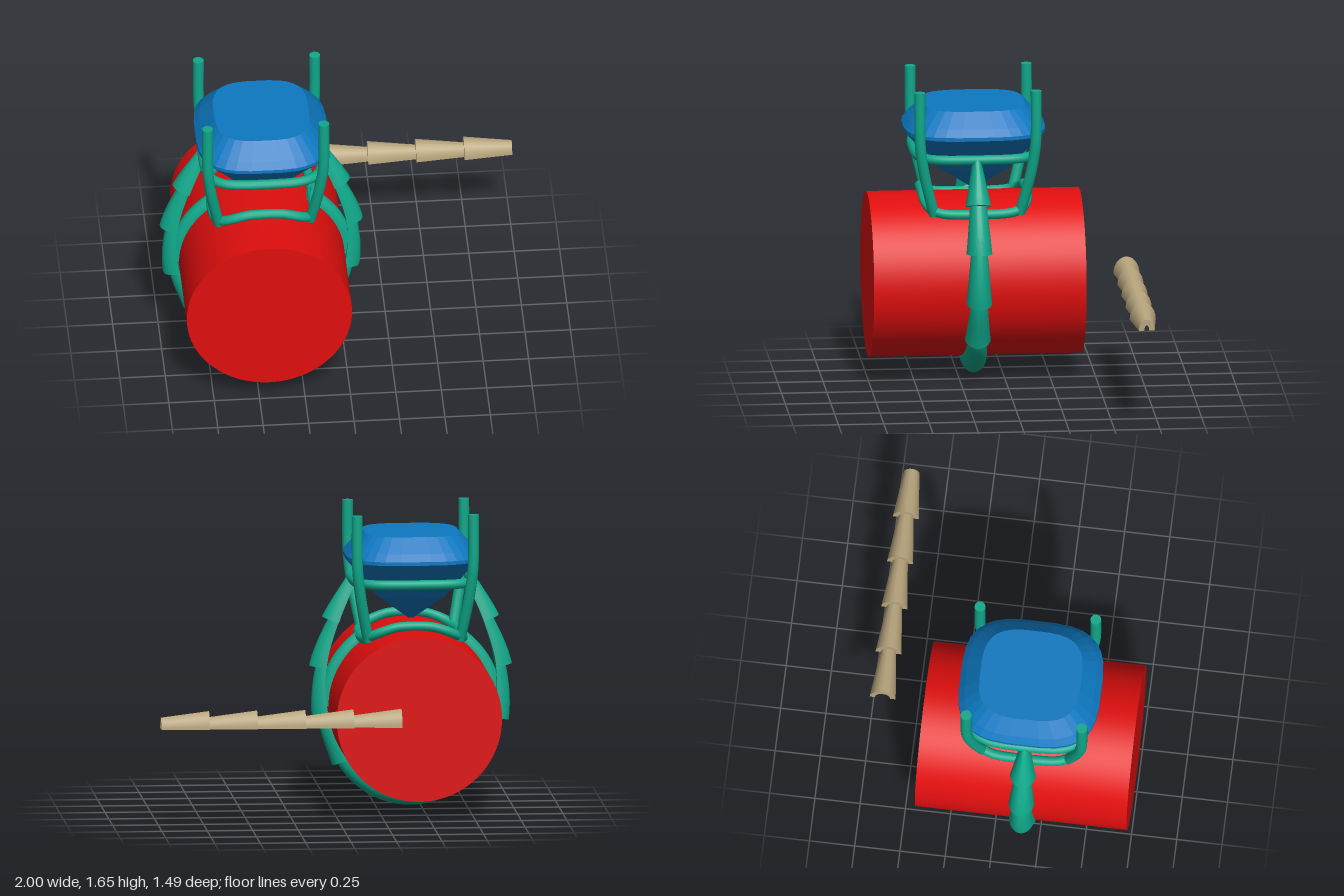
import * as THREE from 'three';
import { toCreasedNormals } from 'three/addons/utils/BufferGeometryUtils.js';

const CX = -0.445, CY = 0.555, CZ = 0.157; // ring axis and setting centre
const BORE = 0.455;
const V3 = (x, y, z) => new THREE.Vector3(x, y, z);
const mat = (color, flatShading = false) =>
  new THREE.MeshStandardMaterial({ color, flatShading, side: THREE.DoubleSide });
const METAL = mat(0x0fa88a), STONE = mat(0x0d78c0, true), RED = mat(0xe00e0e), TAN = mat(0xb8a57d);

function add(parent, name, geometry, material) {
  const mesh = new THREE.Mesh(geometry, material);
  mesh.name = name;
  parent.add(mesh);
  return mesh;
}

// Skin a row of closed 2D sections; place(i, u, v) puts each point in space
function loft(sections, place) {
  const n = sections[0].length, last = sections.length - 1;
  const pos = [], idx = [];
  sections.forEach((s, i) => s.forEach(p => pos.push(...place(i, p.x, p.y).toArray())));
  for (let i = 0; i < last; i++) {
    for (let j = 0; j < n; j++) {
      const a = i * n + j, b = i * n + (j + 1) % n;
      idx.push(a, b, b + n, a, b + n, a + n);
    }
  }
  for (const [a, b, c] of THREE.ShapeUtils.triangulateShape(sections[0], [])) idx.push(a, c, b);
  const top = last * n;
  for (const [a, b, c] of THREE.ShapeUtils.triangulateShape(sections[last], [])) idx.push(top + a, top + b, top + c);
  // Turn the skin outward if its volume is negative
  const at = k => V3(pos[3 * k], pos[3 * k + 1], pos[3 * k + 2]);
  let volume = 0;
  for (let k = 0; k < idx.length; k += 3) volume += at(idx[k]).dot(at(idx[k + 1]).cross(at(idx[k + 2])));
  if (volume < 0) idx.reverse();
  const g = new THREE.BufferGeometry();
  g.setAttribute('position', new THREE.Float32BufferAttribute(pos, 3));
  g.setIndex(idx);
  return toCreasedNormals(g, 0.7);
}

// Half-ellipse section, optionally hollowed from below
function arch(w, h, innerW = 0, innerH = 0) {
  const pts = [], N = 20;
  for (let i = 0; i <= N; i++) {
    const a = Math.PI * i / N;
    pts.push(new THREE.Vector2(w * Math.cos(a), h * Math.sin(a)));
  }
  if (innerW) {
    for (let i = N; i >= 0; i--) {
      const a = Math.PI * i / N;
      pts.push(new THREE.Vector2(innerW * Math.cos(a), innerH * Math.sin(a)));
    }
  }
  return pts;
}

// Cushion outline
function cushion(a, b, n, count) {
  const f = c => Math.sign(c) * Math.abs(c) ** (2 / n);
  return Array.from({ length: count }, (_, i) => {
    const t = 2 * Math.PI * (i + 0.5) / count;
    return new THREE.Vector2(a * f(Math.cos(t)), b * f(Math.sin(t)));
  });
}

// Sweep an arch along a flat path; at(t) gives point and outward normal, size(t) gives width and height
function sweepArch(at, size, steps) {
  const frames = Array.from({ length: steps + 1 }, (_, i) => at(i / steps));
  const sections = frames.map((_, i) => arch(...size(i / steps)));
  return loft(sections, (i, u, v) => frames[i].p.clone().addScaledVector(frames[i].n, v).add(V3(0, 0, u)));
}

// Arch swept round the bore between two angles in degrees
function arcArch(from, to, size, steps) {
  return sweepArch(t => {
    const a = THREE.MathUtils.degToRad(from + (to - from) * t);
    const n = V3(Math.cos(a), Math.sin(a), 0);
    return { p: n.clone().multiplyScalar(BORE).add(V3(0, CY, 0)), n };
  }, size, steps);
}

const lerp = THREE.MathUtils.lerp;

function buildShank() {
  const shank = new THREE.Group();
  shank.name = 'shank';
  shank.position.set(CX, 0, CZ + 0.005);

  // Lower band swelling toward the bottom
  add(shank, 'lowerBand', arcArch(-145, -35, t => {
    const s = Math.sin(Math.PI * t);
    return [lerp(0.042, 0.072, s), lerp(0.055, 0.1, s)];
  }, 48), METAL);

  // Flared, overlapping shoulder segments running up to the gallery
  const spine = new THREE.CatmullRomCurve3([
    V3(0.3, 1.25, 0), V3(0.4, 1.02, 0), V3(0.467, 0.77, 0), V3(0.452, 0.49, 0), V3(0.349, 0.263, 0)]);
  for (const side of [1, -1]) {
    const shoulder = new THREE.Group();
    shoulder.name = side > 0 ? 'leftShoulder' : 'rightShoulder';
    shoulder.scale.x = side;
    shank.add(shoulder);
    for (let k = 0; k < 4; k++) {
      const geometry = sweepArch(t => {
        const s = Math.max(0, (k + t * 1.04 - 0.04) / 4);
        const d = spine.getTangent(s);
        return { p: spine.getPoint(s), n: V3(-d.y, d.x, 0) };
      }, t => [lerp(k ? 0.045 : 0.022, 0.071, t), lerp(0.055, 0.092, t)], 12);
      add(shoulder, 'shoulderSegment', geometry, METAL);
    }
    // Inner strip following the bore up to the base rail
    add(shoulder, 'innerBand', arcArch(0, 57, () => [0.042, 0.052], 20), METAL);
  }
  return shank;
}

function buildSetting() {
  const setting = new THREE.Group();
  setting.name = 'setting';
  setting.position.set(CX, 0, CZ);
  const loop = pts => new THREE.TubeGeometry(new THREE.CatmullRomCurve3(pts, true), 96, 0.027, 12, true);

  // Gallery rail under the stone
  add(setting, 'galleryRail', loop(cushion(0.325, 0.332, 4, 48).map(p => V3(p.x, 1.265, p.y))), METAL);
  // Base rail draped over the bore
  add(setting, 'baseRail', loop(cushion(0.62, 0.288, 4.5, 48).map(p =>
    V3(0.48 * Math.sin(p.x), CY + 0.48 * Math.cos(p.x), p.y))), METAL);

  // Four prongs with closed tops
  const path = new THREE.CatmullRomCurve3([
    V3(0.252, 0.945, 0.236), V3(0.275, 1.06, 0.266), V3(0.3, 1.2, 0.297),
    V3(0.316, 1.33, 0.316), V3(0.32, 1.42, 0.32), V3(0.32, 1.65, 0.32)]);
  const prongGeo = new THREE.TubeGeometry(path, 40, 0.03, 14);
  const capGeo = new THREE.CircleGeometry(0.03, 14).rotateX(-Math.PI / 2).translate(0.32, 1.65, 0.32);
  for (const sx of [1, -1]) for (const sz of [1, -1]) {
    const prong = new THREE.Group();
    prong.name = 'prong';
    prong.scale.set(sx, 1, sz);
    add(prong, 'prongStem', prongGeo, METAL);
    add(prong, 'prongTip', capGeo, METAL);
    setting.add(prong);
  }

  // Cushion stone: height and scale of each facet row, culet to table
  const rows = [[1.04, 0.04], [1.17, 0.52], [1.25, 0.7], [1.38, 1], [1.4, 1], [1.44, 0.92], [1.523, 0.715]];
  add(setting, 'stone', loft(rows.map(r => cushion(0.365 * r[1], 0.39 * r[1], 3.2, 32)),
    (i, u, v) => V3(u, rows[i][0], v)), STONE);
  return setting;
}

// Straight sample strip of hollow flared segments
function buildStrip() {
  const strip = new THREE.Group();
  strip.name = 'segmentStrip';
  const length = 0.265;
  const geometry = loft([arch(0.072, 0.095, 0.042, 0.062), arch(0.043, 0.062, 0.013, 0.03)],
    (i, u, v) => V3(i * length, v, u));
  for (let k = 0; k < 5; k++) {
    add(strip, 'stripSegment', geometry, TAN).position.set(-0.325 + k * length, 0.558, -0.677);
  }
  return strip;
}

export function createModel() {
  const model = new THREE.Group();
  model.name = 'ringModel';

  // Solid cylinder filling the finger hole
  const finger = add(model, 'fingerCylinder',
    new THREE.CylinderGeometry(BORE, BORE, 1.17, 96).rotateX(Math.PI / 2), RED);
  finger.position.set(CX, CY, 0.155);

  model.add(buildShank(), buildSetting(), buildStrip());
  return model;
}
